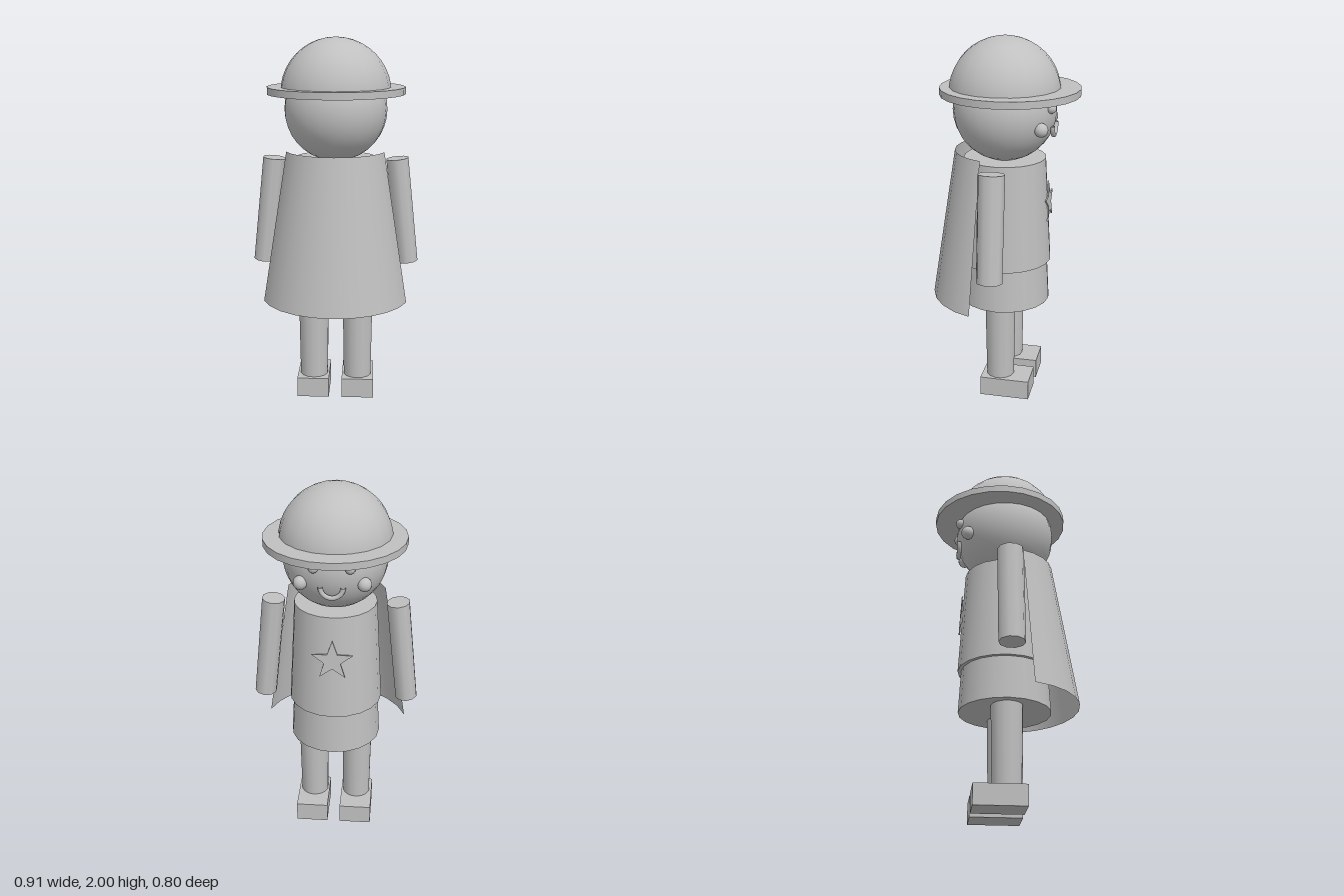
import * as THREE from 'three';

export function createModel() {
  const group = new THREE.Group();
  const plain = new THREE.MeshStandardMaterial({ color: 0xc0c0c0 });
  plain.name = 'plainGrey';
  const plainTwoSided = plain.clone();
  plainTwoSided.side = THREE.DoubleSide;

  const add = (name, geometry, x, y, z, material = plain) => {
    const mesh = new THREE.Mesh(geometry, material);
    mesh.name = name;
    mesh.position.set(x, y, z);
    group.add(mesh);
    return mesh;
  };
  // Upright tapered cylinder given by its bottom and top heights
  const column = (name, rTop, rBottom, y0, y1, sides, x = 0, z = 0) =>
    add(name, new THREE.CylinderGeometry(rTop, rBottom, y1 - y0, sides), x, (y0 + y1) / 2, z);

  // Head and hat; the face looks towards -z
  add('head', new THREE.SphereGeometry(0.276, 24, 18), 0, 1.62, 0);
  add('hatDome', new THREE.SphereGeometry(0.297, 20, 10, 0, Math.PI * 2, 0, Math.PI / 2), 0, 1.703, 0);
  column('hatBrim', 0.373, 0.373, 1.7, 1.738, 24, 0, -0.028);

  // Smile: lower half of a ring
  const mouth = add('mouth', new THREE.TorusGeometry(0.058, 0.013, 8, 16, Math.PI), 0, 1.55, -0.264, plainTwoSided);
  mouth.rotation.z = Math.PI;

  // Clothes
  column('shirt', 0.222, 0.255, 0.78, 1.36, 20);
  column('shorts', 0.235, 0.249, 0.545, 0.8, 20);

  // Star on the chest
  const star = new THREE.Shape();
  for (let i = 0; i < 10; i++) {
    const r = i % 2 ? 0.046 : 0.115;
    const a = Math.PI / 2 + (i * Math.PI) / 5;
    if (i) star.lineTo(r * Math.cos(a), r * Math.sin(a));
    else star.moveTo(r * Math.cos(a), r * Math.sin(a));
  }
  star.closePath();
  const chestStar = add('chestStar',
    new THREE.ExtrudeGeometry(star, { depth: 0.008, bevelEnabled: false }), 0, 1.12, -0.247);
  chestStar.rotation.x = 0.05;

  // Open cape wrapped around the back (+z)
  const arc = THREE.MathUtils.degToRad(147);
  const cape = add('cape',
    new THREE.CylinderGeometry(0.268, 0.4, 0.825, 10, 1, true, -arc / 2, arc), 0, 0.988, 0, plainTwoSided);
  cape.scale.x = 1.02;

  for (const s of [1, -1]) {
    const side = s > 0 ? 'left' : 'right';
    add(side + 'Eye', new THREE.SphereGeometry(0.027, 12, 8), s * 0.092, 1.652, -0.262);
    add(side + 'Cheek', new THREE.SphereGeometry(0.037, 14, 10), s * 0.162, 1.553, -0.222);

    // Slightly flattened, outward-leaning arms
    const arm = add(side + 'Arm', new THREE.CylinderGeometry(0.072, 0.07, 0.575, 10), s * 0.364, 1.071, 0);
    arm.scale.x = 0.87;
    arm.rotation.z = s * 0.108;

    column(side + 'Leg', 0.085, 0.078, 0.1, 0.56, 14, s * 0.123);
    add(side + 'Shoe', new THREE.BoxGeometry(0.178, 0.11, 0.275), s * 0.125, 0.055, -0.04);
  }
  return group;
}
